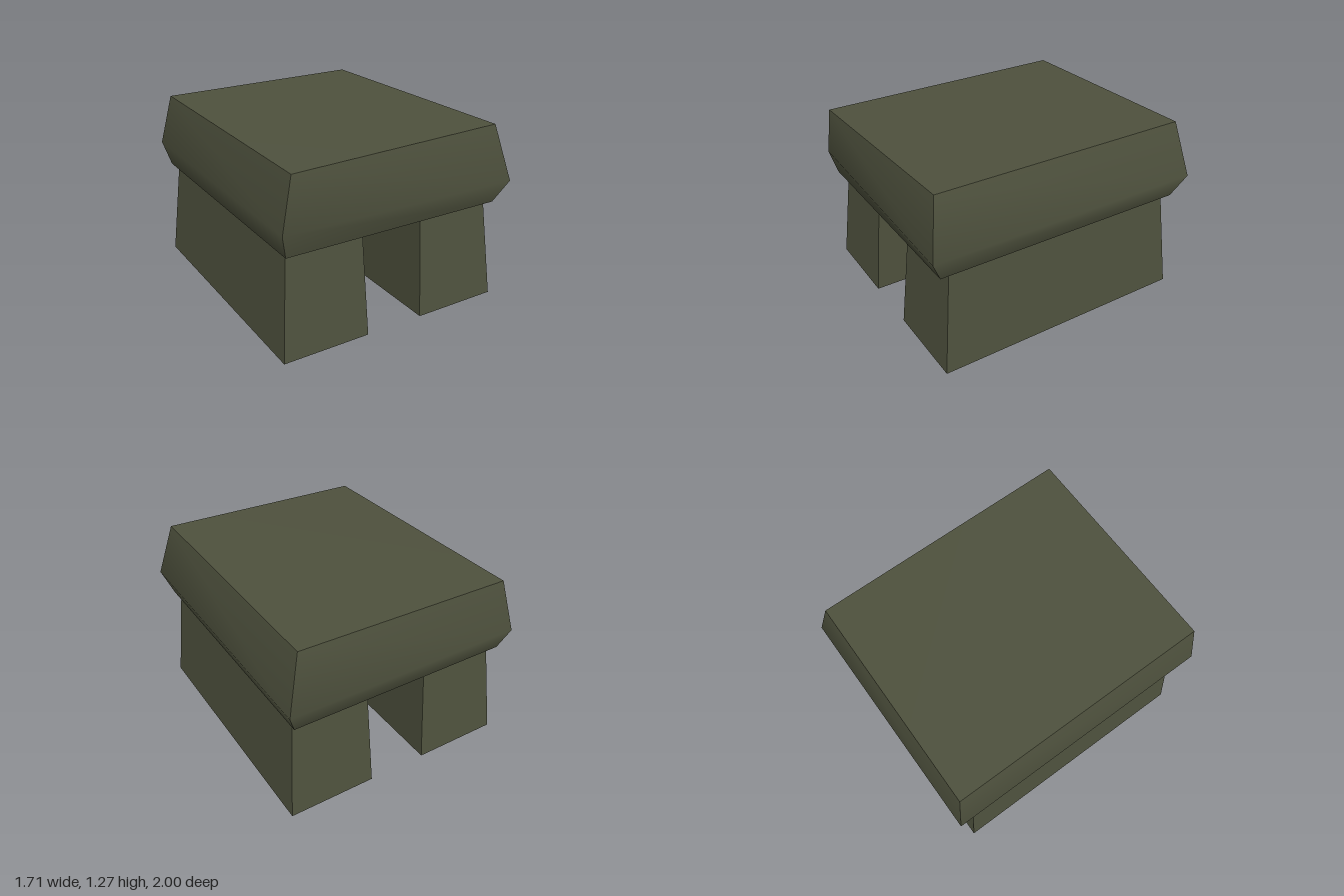
import * as THREE from 'three';

// Builds a hollow shell from stacked four-corner rings (bottom to top), open below.
// Ring corners run front-left, front-right, back-right, back-left as seen from the front (+z).
// Each side has its own vertices: smooth up the side, sharp at the corners.
function stackedShell(rings, closedTop) {
  const positions = [];
  const index = [];
  const quad = (a, b, c, d) => index.push(a, b, d, b, c, d);
  for (let side = 0; side < 4; side++) {
    const start = positions.length / 3;
    for (const ring of rings) positions.push(...ring[side], ...ring[(side + 1) % 4]);
    for (let i = 0; i < rings.length - 1; i++) {
      const a = start + i * 2;
      quad(a, a + 1, a + 3, a + 2);
    }
  }
  if (closedTop) {
    const cap = positions.length / 3;
    positions.push(...rings[rings.length - 1].flat());
    quad(cap, cap + 1, cap + 2, cap + 3);
  }
  const geometry = new THREE.BufferGeometry();
  geometry.setAttribute('position', new THREE.Float32BufferAttribute(positions, 3));
  geometry.setIndex(index);
  geometry.computeVertexNormals();
  return geometry;
}

// Level rectangular ring
const ringAt = (y, x0, x1, z) => [[x0, y, z], [x1, y, z], [x1, y, -z], [x0, y, -z]];

export function createModel() {
  const model = new THREE.Group();
  model.name = 'stoneTable';
  const stone = new THREE.MeshStandardMaterial({ color: 0x4f523e, side: THREE.DoubleSide });
  stone.name = 'mossy stone';

  const add = (name, rings, closedTop) => {
    const mesh = new THREE.Mesh(stackedShell(rings, closedTop), stone);
    mesh.name = name;
    model.add(mesh);
  };

  // Capstone: slightly uneven slab, widest below its middle, hollow underneath
  add('capstone', [
    ringAt(0.715, -0.813, 0.787, 0.923),
    [[-0.855, 0.88, 0.967], [0.855, 0.88, 1], [0.855, 0.88, -1], [-0.855, 0.88, -0.993]],
    [[-0.78, 1.235, 0.945], [0.752, 1.27, 0.92], [0.752, 1.27, -0.923], [-0.78, 1.25, -0.923]],
  ], true);

  // Two long tapered supports, open at both ends
  add('rightSupport', [
    ringAt(0, -0.843, -0.222, 0.93),
    ringAt(0.715, -0.78, -0.235, 0.855),
  ], false);
  add('leftSupport', [
    ringAt(0, 0.203, 0.825, 0.93),
    ringAt(0.715, 0.217, 0.765, 0.855),
  ], false);

  return model;
}
